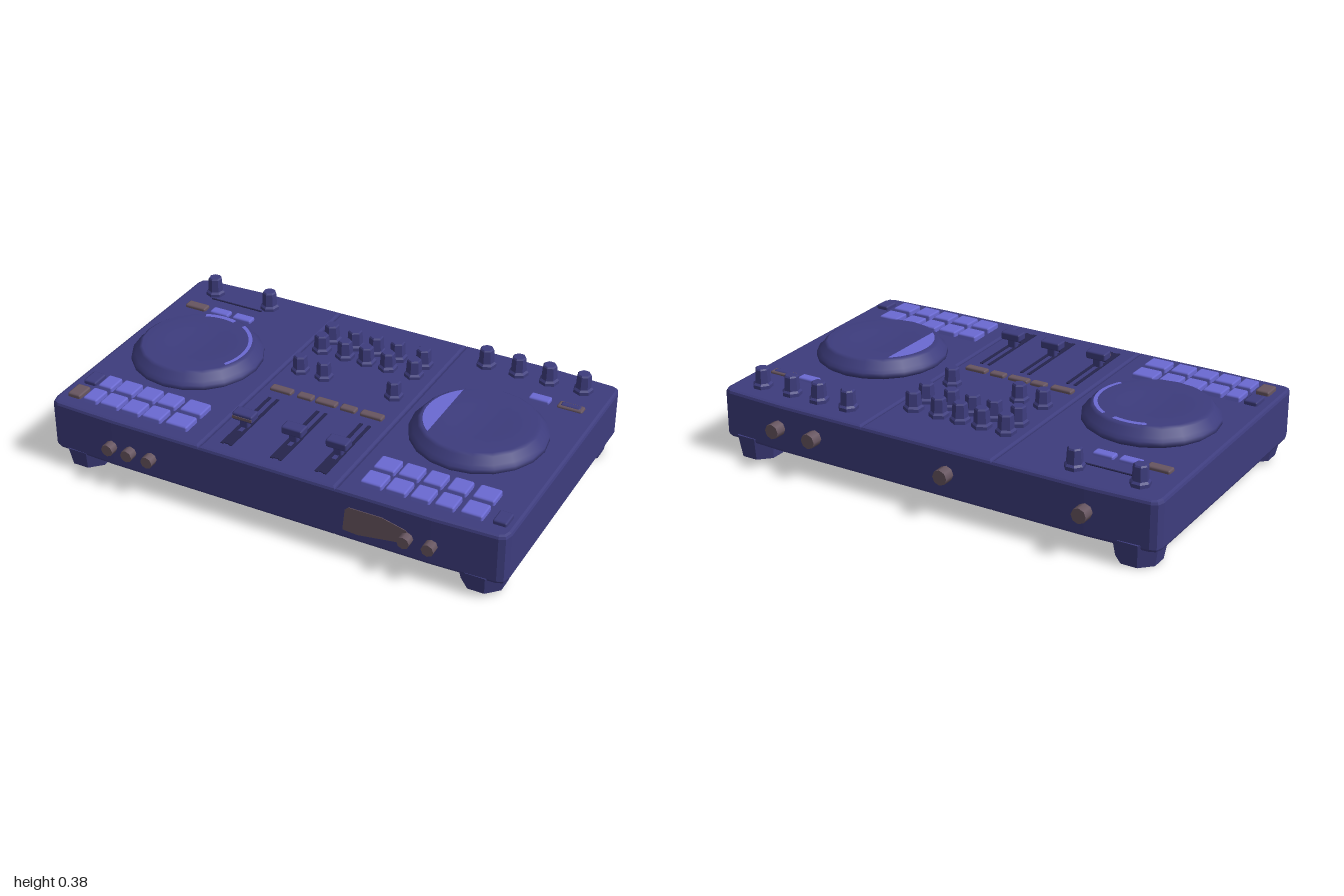
import * as THREE from 'three';
import { RoundedBoxGeometry } from 'three/addons/geometries/RoundedBoxGeometry.js';

const mat = (name, color) => {
  const m = new THREE.MeshStandardMaterial({ color });
  m.name = name;
  return m;
};

export function createModel() {
  const root = new THREE.Group();
  root.name = 'mixingConsole';
  const body = mat('indigo body', 0x3d3c7d);
  const padBlue = mat('pad blue', 0x6a69d2);
  const brown = mat('muted brown', 0x675560);
  const dark = mat('dark slot', 0x25244c);

  // The deck slopes gently down to the back
  const topY = z => 0.297 + 0.017 * z;
  const bottomY = z => 0.082 + 0.008 * z;

  const add = (name, geo, material, x = 0, y = 0, z = 0) => {
    const m = new THREE.Mesh(geo, material);
    m.name = name;
    m.position.set(x, y, z);
    root.add(m);
    return m;
  };
  // Box standing on the deck, sunk a little into it
  const deckBox = (name, material, x, z, w, d, h, r = 0.008) =>
    add(name, new RoundedBoxGeometry(w, h + 0.02, d, 1, r), material, x, topY(z) + (h - 0.02) / 2, z);
  // Thin painted plate on the deck
  const deckPlate = (name, material, x, z, w, d) => {
    const m = add(name, new THREE.BoxGeometry(w, 0.004, d), material, x, topY(z) + 0.001, z);
    m.rotation.x = -0.017;
    return m;
  };

  // Case: three bevelled sections, outline given as [x, z]
  const section = (name, pts) => {
    const b = 0.014;
    const geo = new THREE.ExtrudeGeometry(
      new THREE.Shape(pts.map(([x, z]) => new THREE.Vector2(x, -z))),
      { depth: 1 - 2 * b, bevelEnabled: true, bevelSize: b, bevelThickness: b, bevelOffset: -b, bevelSegments: 2 });
    geo.rotateX(-Math.PI / 2);
    geo.translate(0, b, 0);
    const p = geo.attributes.position;
    for (let i = 0; i < p.count; i++) {
      const t = p.getY(i), z = p.getZ(i), h = topY(z) - bottomY(z);
      // keep the bevel size constant while squeezing the height
      const y = t < 0.5 ? Math.min(t, b) : h - Math.min(1 - t, b);
      p.setY(i, bottomY(z) + y);
    }
    geo.computeVertexNormals();
    add(name, geo, body);
  };
  const side = s => [[0.298, 0.606], [0.7, 0.606], [0.965, 0.597], [0.99, 0.585], [1, 0.55],
    [1, -0.55], [0.99, -0.58], [0.965, -0.592], [0.7, -0.605], [0.298, -0.605]]
    .map(([x, z]) => [s * x, z]);
  section('leftDeckCase', side(1).reverse());
  section('rightDeckCase', side(-1));
  section('mixerCase', [[-0.301, -0.605], [-0.301, 0.606], [0.301, 0.606], [0.301, -0.605]]);

  // Feet: tapered blocks, the back pair longer
  for (const sx of [-1, 1]) for (const sz of [-1, 1]) {
    const low = sz > 0 ? 0.018 : 0;
    const h = 0.1 - low;
    const geo = new THREE.CylinderGeometry(0.108, 0.09, h, 8, 1).toNonIndexed();
    geo.rotateY(Math.PI / 8);
    geo.computeVertexNormals();
    add('foot', geo, body, sx * 0.882, low + h / 2, sz * 0.503);
  }

  // Jog wheels
  const wheelProfile = [[0.262, 0], [0.278, 0.012], [0.277, 0.03], [0.262, 0.04], [0.244, 0.068],
    [0.23, 0.077], [0.12, 0.074], [0.09, 0.066], [0, 0.066]].map(([r, y]) => new THREE.Vector2(r, y));
  const glint = (x, shape, name) => {
    const geo = new THREE.ShapeGeometry(shape, 12);
    geo.rotateX(-Math.PI / 2);
    add(name, geo, padBlue, x, 0.3765, 0.022);
  };
  for (const x of [-0.65, 0.632])
    add('jogWheel', new THREE.LatheGeometry(wheelProfile, 20), body, x, 0.298, 0.022);
  // Pale marks on the wheels
  const arc = (a, b, r0, r1) => {
    const s = new THREE.Shape();
    s.absarc(0, 0, r1, a, b, false);
    s.absarc(0, 0, r0, b, a, true);
    return s;
  };
  glint(-0.65, arc(-0.5, 1.05, 0.212, 0.228), 'wheelMark');
  glint(-0.65, arc(1.3, 1.95, 0.205, 0.226), 'wheelMark');
  const chord = new THREE.Shape();
  chord.absarc(0, 0, 0.222, 2.28, 4.0, false);
  glint(0.632, chord, 'wheelMark');

  // Rotary knobs
  const knob = (x, z, r, sides) => {
    const h = 0.373 - topY(z);
    const pts = [[r, -0.01], [r, 0.014], [r * 0.8, 0.022], [r * 0.72, h - 0.006], [r * 0.6, h], [0, h]]
      .map(([a, y]) => new THREE.Vector2(a, y));
    const geo = new THREE.LatheGeometry(pts, sides).toNonIndexed();
    geo.computeVertexNormals();
    add('knob', geo, body, x, topY(z), z);
  };
  for (const x of [-0.87, -0.595, 0.44, 0.585, 0.72, 0.87]) knob(x, -0.49, 0.042, 7);
  const mixX = [-0.22, -0.11, -0.01, 0.09, 0.21];
  for (const x of mixX) for (const z of [-0.365, -0.272]) knob(x, z, 0.042, 6);
  for (const x of [-0.22, -0.11, 0.21]) knob(x, -0.083, 0.04, 6);
  deckPlate('knobPanelLine', dark, -0.735, -0.442, 0.25, 0.008);

  // Mixer buttons
  [[-0.21, 0.1], [-0.1, 0.07], [-0.005, 0.095], [0.095, 0.07], [0.2, 0.1]]
    .forEach(([x, w]) => deckBox('mixerButton', brown, x, 0.09, w, 0.038, 0.014));

  // Faders: twin slots, stem and cap
  for (const x of [-0.21, 0.01, 0.205]) {
    for (const s of [-1, 1]) deckPlate('faderSlot', dark, x + s * 0.018, 0.35, 0.014, 0.38);
    deckPlate('faderScale', dark, x, 0.485, 0.045, 0.1);
    deckBox('faderStem', body, x, 0.388, 0.04, 0.03, 0.045);
    add('faderCap', new RoundedBoxGeometry(0.092, 0.035, 0.055, 1, 0.008), body, x, 0.354, 0.388);
  }
  add('faderCapStripe', new THREE.BoxGeometry(0.086, 0.012, 0.008), brown, -0.21, 0.352, 0.414);

  // Performance pads
  const leftPads = [[-0.845, 0.065], [-0.755, 0.085], [-0.655, 0.085], [-0.555, 0.085], [-0.44, 0.1]];
  const rightPads = [[0.418, 0.09], [0.52, 0.085], [0.62, 0.08], [0.72, 0.08], [0.83, 0.09]];
  for (const [x, w] of [...leftPads, ...rightPads])
    for (const z of [0.388, 0.497]) deckBox('pad', padBlue, x, z, w, 0.086, 0.022);
  deckBox('modeButton', body, -0.925, 0.382, 0.06, 0.08, 0.018);
  deckBox('modeButton', brown, -0.925, 0.495, 0.06, 0.08, 0.018);
  deckBox('modeButton', body, 0.94, 0.495, 0.058, 0.075, 0.018);

  // Loop buttons behind the wheels
  deckBox('loopButton', brown, -0.877, -0.345, 0.1, 0.045, 0.014);
  for (const x of [-0.757, -0.645, 0.742]) deckBox('loopButton', padBlue, x, -0.345, 0.09, 0.045, 0.014);
  deckBox('loopButton', brown, 0.875, -0.345, 0.11, 0.045, 0.01);
  deckBox('loopButtonTop', body, 0.875, -0.345, 0.085, 0.03, 0.014);

  // Sockets front and back
  const jack = (name, x, y, z, r, len) => {
    const geo = new THREE.CylinderGeometry(r, r, len, 8);
    geo.rotateX(Math.PI / 2);
    add(name, geo, brown, x, y, z);
  };
  for (const x of [-0.705, -0.1, 0.525, 0.705]) jack('rearSocket', x, 0.186, -0.615, 0.032, 0.08);
  for (const x of [-0.705, -0.615, -0.52, 0.605, 0.705]) jack('frontSocket', x, 0.182, 0.61, 0.026, 0.07);

  // Tapered panel on the front right
  const panel = new THREE.Shape([[0.335, 0.13], [0.4, 0.125], [0.6, 0.155], [0.62, 0.18],
    [0.6, 0.215], [0.5, 0.24], [0.36, 0.24], [0.345, 0.225]].map(([x, y]) => new THREE.Vector2(x, y)));
  add('frontPanel', new THREE.ExtrudeGeometry(panel, { depth: 0.005, bevelEnabled: false }), brown, 0, 0, 0.604);

  return root;
}
